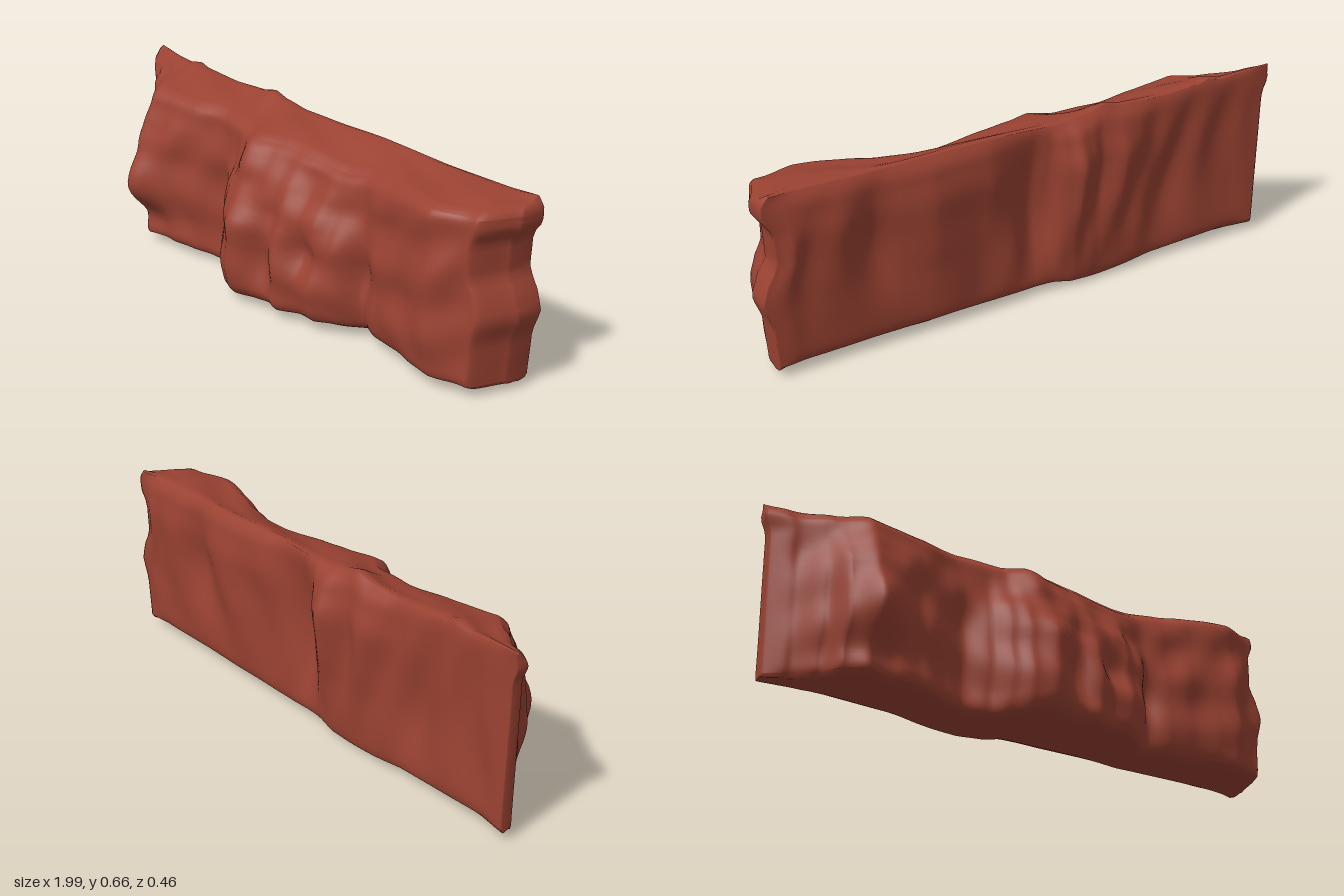
import * as THREE from 'three';

// Smooth interpolation through [position, value] pairs.
function track(...p) {
  const n = p.length / 2;
  return (t) => {
    let i = 0;
    while (i < n - 2 && t > p[2 * i + 2]) i++;
    const k = THREE.MathUtils.clamp((t - p[2 * i]) / (p[2 * i + 2] - p[2 * i]), 0, 1);
    const s = 0.5 * k + 0.5 * k * k * (3 - 2 * k);
    return p[2 * i + 1] + (p[2 * i + 3] - p[2 * i + 1]) * s;
  };
}
const bump = (x, y, cx, cy, rx, ry) => Math.exp(-(((x - cx) / rx) ** 2) - ((y - cy) / ry) ** 2);
const lerp = THREE.MathUtils.lerp;

// Outlines along the length of the cliff
const frontFoot = track(-0.98, -0.13, -0.9, -0.06, -0.82, 0.03, -0.78, 0.12, -0.71, 0.19, -0.6, 0.145, -0.5, 0.1,
  -0.4, 0.06, -0.33, 0.045, -0.25, 0.09, -0.2, 0.15, -0.15, 0.2, -0.08, 0.23, 0, 0.2, 0.07, 0.18, 0.12, 0.2,
  0.2, 0.16, 0.27, 0.17, 0.33, 0.13, 0.42, 0.055, 0.5, 0.08, 0.6, 0.085, 0.7, 0.11, 0.78, 0.118, 0.92, 0.06, 0.97, -0.08);
const frontRim = track(-0.98, -0.13, -0.9, -0.07, -0.8, 0.01, -0.7, 0.085, -0.6, 0.08, -0.5, 0.07, -0.35, 0.035,
  -0.25, 0.04, -0.18, 0.045, -0.1, 0.1, 0, 0.075, 0.1, 0.06, 0.25, 0.04, 0.4, 0.025, 0.5, 0.04, 0.6, 0.07,
  0.77, 0.105, 0.91, 0.06, 0.97, -0.08);
const backBulge = track(-0.98, -0.16, -0.65, -0.165, -0.5, -0.175, -0.4, -0.205, -0.33, -0.22, -0.25, -0.2, -0.2, -0.22,
  -0.15, -0.24, -0.1, -0.215, -0.05, -0.175, 0, -0.16, 0.1, -0.175, 0.2, -0.19, 0.4, -0.21, 0.5, -0.195, 0.6, -0.185,
  0.8, -0.2, 0.9, -0.19, 0.97, -0.165);
const rimY = track(-0.98, 0.62, -0.75, 0.6, -0.4, 0.585, 0, 0.585, 0.3, 0.565, 0.5, 0.585, 0.7, 0.605, 0.97, 0.605);
const crestY = track(-0.98, 0.665, -0.78, 0.65, -0.72, 0.662, -0.67, 0.65, -0.5, 0.642, -0.34, 0.65, -0.27, 0.664,
  -0.2, 0.647, -0.1, 0.635, 0.3, 0.642, 0.6, 0.636, 0.97, 0.642);
const baseY = track(-0.98, 0.035, -0.5, 0.022, -0.35, 0.01, -0.25, 0.003, -0.15, 0.01, -0.08, 0.022, 0.3, 0.03, 0.97, 0.028);

// Profiles up the height, and wander of the two ends
const frontSwell = track(0, 0.85, 0.08, 0.93, 0.25, 1, 0.5, 0.95, 0.65, 0.7, 0.8, 0.4, 0.95, 0.1, 1, 0);
const backSwell = track(0, 0.15, 0.3, 0.5, 0.5, 0.75, 0.75, 1, 0.92, 0.5, 1, 0);
const rightEnd = track(0, -0.01, 0.25, 0, 0.4, 0.03, 0.5, 0.01, 0.6, -0.025, 0.78, -0.02, 0.87, 0.015, 0.94, 0.015, 1, -0.01);
const leftEnd = track(0, 0.01, 0.85, 0, 0.94, -0.02, 1, -0.015);
const round = (v, r) => Math.exp(-v / r) + Math.exp(-(1 - v) / r);

function frontZ(x, v) {
  const fade = THREE.MathUtils.smoothstep(0.97 - Math.abs(x), 0, 0.12);
  let z = lerp(frontRim(x), frontFoot(x), frontSwell(v));
  // vertical ribs, ledges and the undercut knob
  z += fade * (0.008 * Math.sin(31 * x + 3 * Math.sin(4 * v)) * Math.sin(Math.PI * v)
    + 0.006 * Math.sin(17 * v + 5 * Math.sin(3 * x)) - 0.006);
  z -= 0.06 * bump(x, v, -0.68, 0.1, 0.12, 0.17);
  z += 0.025 * bump(x, v, -0.71, 0.42, 0.08, 0.16);
  z -= 0.04 * bump(x, v, 0.2, 0.42, 0.09, 0.15);
  z -= 0.03 * bump(x, v, 0.03, 0.3, 0.04, 0.22);
  z -= 0.02 * bump(x, v, 0.42, 0.3, 0.04, 0.3);
  return z - 0.018 * fade * round(v, 0.025);
}
function backZ(x, v) {
  const fade = THREE.MathUtils.smoothstep(0.97 - Math.abs(x), 0, 0.12);
  let z = -0.165 + (backBulge(x) + 0.165) * backSwell(v);
  // upright grooves leaning along the length, and hollows
  z += fade * 0.009 * (1 + Math.sin(27 * x + 2.5 * Math.sin(3 * v + x * 4))) * Math.sin(Math.PI * v);
  z += 0.035 * bump(x, v, 0.04 - 0.15 * (0.6 - v), 0.5, 0.09, 0.35);
  z += 0.025 * bump(x, v, 0.6, 0.55, 0.1, 0.25);
  z += 0.02 * bump(x, v, -0.55, 0.4, 0.12, 0.25);
  return z + 0.012 * fade * round(v, 0.03);
}

// One closed cross-section: front face, top, back face, underside
function section(x, end) {
  const ring = [];
  const add = (y, z) => {
    const h = (y - 0.03) / 0.61;
    const k = THREE.MathUtils.smoothstep(Math.abs(x), 0.82, 0.97);
    const slide = k * (x > 0 ? rightEnd(h) : leftEnd(h));
    ring.push([x + slide + end, y, z]);
  };
  const b = baseY(x), r = rimY(x), c = crestY(x);
  const nf = 34, nt = 12, nb = 28, nu = 10;
  for (let i = 0; i <= nf; i++) {
    const v = 0.5 - 0.5 * Math.cos(Math.PI * i / nf);
    add(lerp(b + 0.012, r - 0.01, v), frontZ(x, v));
  }
  const f1 = frontZ(x, 1), b1 = backZ(x, 1), f0 = frontZ(x, 0), b0 = backZ(x, 0);
  for (let i = 1; i < nt; i++) {
    const t = i / nt;
    const y = lerp(r, c, t) + 0.006 * Math.sin(Math.PI * t) * Math.sin(14 * x + 5 * t);
    add(y, lerp(f1, b1, t));
  }
  for (let i = 0; i <= nb; i++) {
    const v = 0.5 + 0.5 * Math.cos(Math.PI * i / nb);
    add(lerp(b + 0.012, c - 0.008, v), backZ(x, v));
  }
  for (let i = 1; i < nu; i++) {
    const t = i / nu;
    add(b + 0.004 * Math.sin(9 * x + 6 * t) * Math.sin(Math.PI * t), lerp(b0, f0, t));
  }
  return ring;
}

function cliffGeometry() {
  const columns = 220, rings = [];
  for (let i = 0; i <= columns; i++) {
    const u = 2 * i / columns - 1;
    rings.push(section(0.97 * (0.75 * u + 0.25 * Math.sin(u * Math.PI / 2)), 0));
  }
  const n = rings[0].length, pos = rings.flat(2), idx = [];
  for (let i = 0; i < columns; i++) {
    for (let j = 0; j < n; j++) {
      const k = (j + 1) % n, a = i * n + j, b = i * n + k;
      idx.push(a, a + n, b, b, a + n, b + n);
    }
  }
  // close each end with a strip joining front points to back points
  for (const [start, flip] of [[0, true], [columns * n, false]]) {
    let lo = 0, hi = n - 1;
    while (hi - lo > 1) {
      const tri = (a, b, c) => idx.push(start + a, start + (flip ? b : c), start + (flip ? c : b));
      const ring = rings[start / n];
      if (ring[lo + 1][1] <= ring[hi - 1][1]) { tri(lo, lo + 1, hi); lo++; }
      else { tri(lo, hi - 1, hi); hi--; }
    }
  }
  const g = new THREE.BufferGeometry();
  g.setAttribute('position', new THREE.Float32BufferAttribute(pos, 3));
  g.setIndex(idx);
  g.computeVertexNormals();
  return g;
}

export function createModel() {
  const group = new THREE.Group();
  group.name = 'rockWall';
  const rock = new THREE.MeshStandardMaterial({ color: 0x9a4232, side: THREE.DoubleSide });
  const cliff = new THREE.Mesh(cliffGeometry(), rock);
  cliff.name = 'cliffSlab';
  group.add(cliff);
  return group;
}
